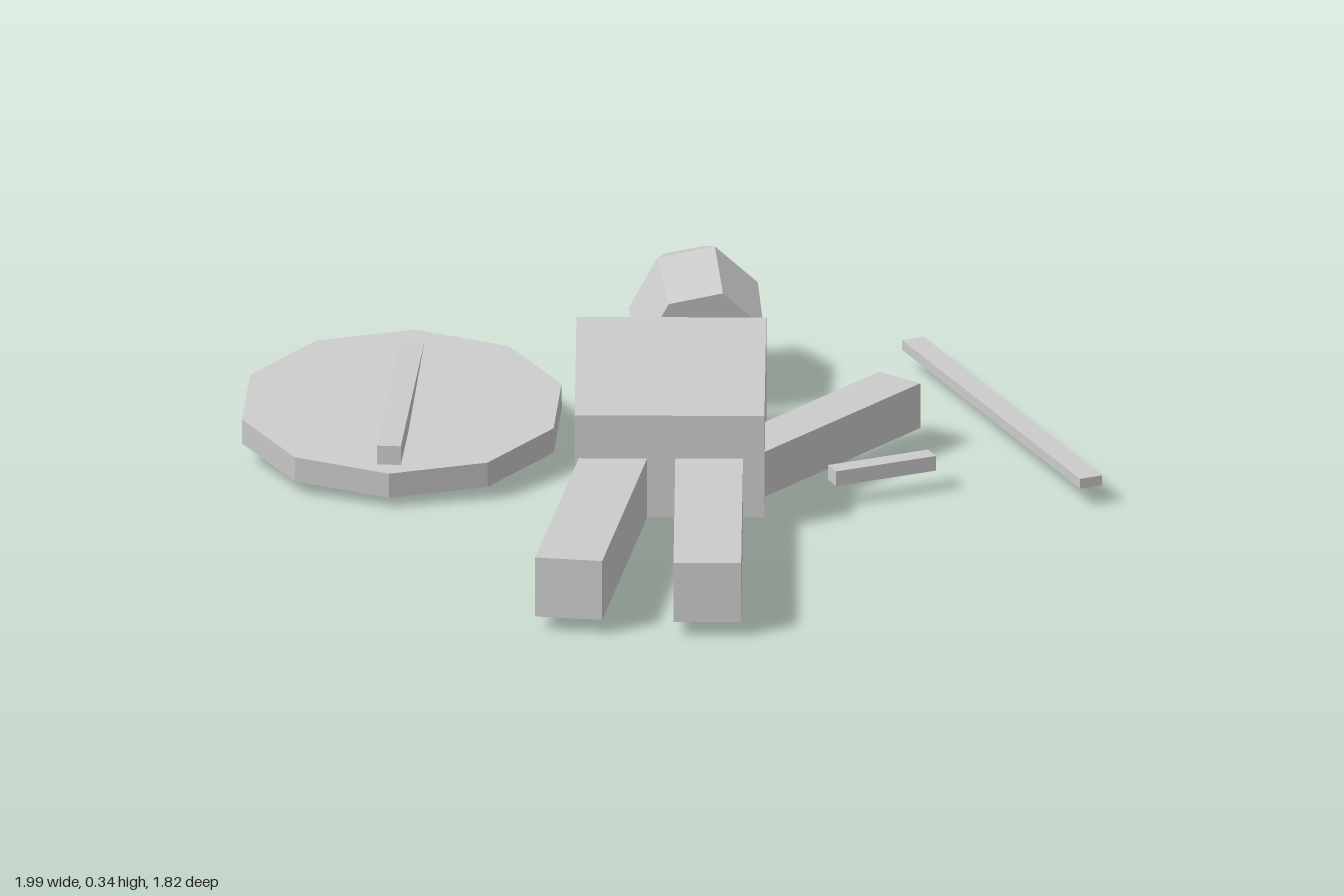
import * as THREE from 'three';

export function createModel() {
  const model = new THREE.Group();
  const material = new THREE.MeshStandardMaterial({ color: 0xcccccc, flatShading: true });

  const add = (name, geometry, x, y, z) => {
    const mesh = new THREE.Mesh(geometry, material);
    mesh.name = name;
    mesh.position.set(x, y, z);
    model.add(mesh);
    return mesh;
  };

  // Box lying between heights y0 and y1, turned by yaw about its centre
  const slab = (name, width, length, y0, y1, x, z, yaw = 0) => {
    const mesh = add(name, new THREE.BoxGeometry(width, y1 - y0, length), x, (y0 + y1) / 2, z);
    mesh.rotation.y = yaw;
    return mesh;
  };

  // Body lying on its back
  slab('torso', 0.437, 0.647, 0.04, 0.29, -0.007, -0.095, 0.073);

  // Legs, slightly spread
  slab('rightLeg', 0.156, 0.70, 0.04, 0.185, -0.137, 0.557, -0.073);
  slab('leftLeg', 0.156, 0.70, 0.04, 0.185, 0.132, 0.557, 0.073);

  // Raised arm, running from its far end back into the torso
  const armYaw = -0.593, armLength = 0.62;
  slab('leftArm', 0.122, armLength, 0.06, 0.17,
    0.50 + Math.sin(armYaw) * armLength / 2,
    -0.385 + Math.cos(armYaw) * armLength / 2, armYaw);

  // Seven-sided head: neck ring, widest ring, crown ring
  const profile = [[0, 0], [0.153, 0], [0.162, 0.214], [0.105, 0.326], [0, 0.326]]
    .map(([r, h]) => new THREE.Vector2(r, h));
  const headGeometry = new THREE.LatheGeometry(profile, 7, THREE.MathUtils.degToRad(16));
  headGeometry.rotateX(-Math.PI / 2);
  headGeometry.scale(0.96, 1.04, 1);
  const head = add('head', headGeometry, 0.037, 0.161, -0.535);
  head.rotation.set(0.13, 0.18, 0, 'YXZ');

  // Ten-sided shield, tilted, with a level grip bar across it
  const shield = add('shield', new THREE.CylinderGeometry(0.3785, 0.3785, 0.062, 10), -0.64, 0.0965, -0.252);
  shield.rotation.x = 0.097;
  slab('shieldGrip', 0.055, 0.757, 0.112, 0.158, -0.64, -0.253);

  // Loose blade and crossbar
  slab('blade', 0.056, 0.998, 0.05, 0.074, 0.73, -0.46, 0.502);
  slab('crossbar', 0.252, 0.046, 0.058, 0.094, 0.486, -0.04, 0.495);

  return model;
}
